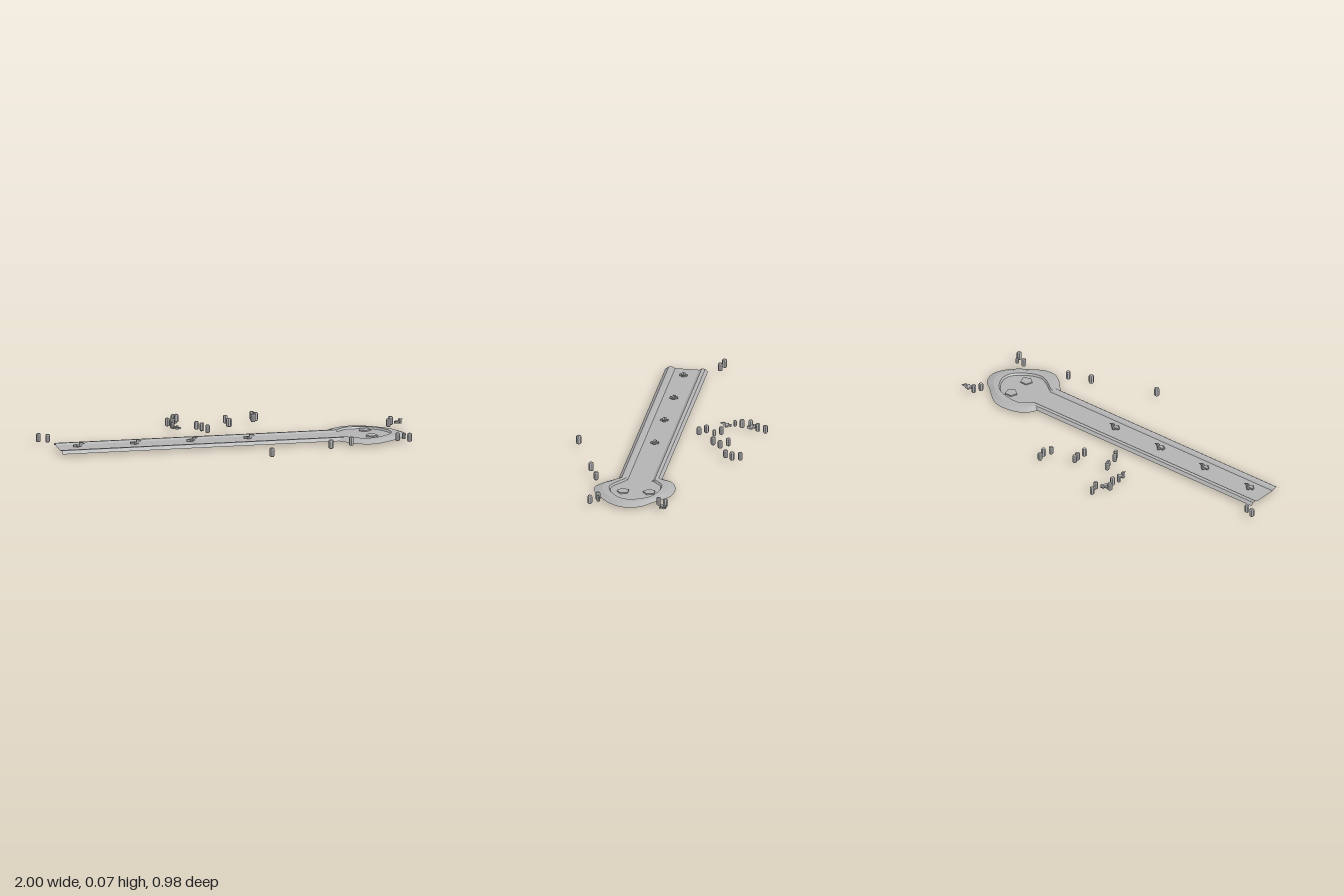
import * as THREE from 'three';

const stone = new THREE.MeshStandardMaterial({ color: 0xb4b4b4, flatShading: true, side: THREE.DoubleSide });
stone.name = 'grey';

const FLOOR = 0.021;

// Skin a list of equally long cross-sections (arrays of [x, y, z])
function loft(sections) {
  const n = sections[0].length, index = [];
  for (let i = 0; i < sections.length - 1; i++)
    for (let j = 0; j < n - 1; j++) {
      const a = i * n + j, b = a + n;
      index.push(a, a + 1, b, b, a + 1, b + 1);
    }
  const g = new THREE.BufferGeometry();
  g.setAttribute('position', new THREE.Float32BufferAttribute(sections.flat(2), 3));
  g.setIndex(index);
  g.computeVertexNormals();
  return g;
}

function add(parent, name, geometry, x = 0, y = 0, z = 0) {
  const m = new THREE.Mesh(geometry, stone);
  m.name = name;
  m.position.set(x, y, z);
  parent.add(m);
  return m;
}

// Smooth curve through [x, z] pairs, sampled evenly by control point
function sample(points, n) {
  const c = new THREE.CatmullRomCurve3(points.map(([x, z]) => new THREE.Vector3(x, 0, z)));
  return Array.from({ length: n + 1 }, (_, i) => c.getPoint(i / n));
}

// Low swimmer: cross-shaped body, raised neck and pointed head towards +x
function createSwimmer() {
  const g = new THREE.Group();
  g.name = 'swimmer';
  add(g, 'body', new THREE.BoxGeometry(0.042, 0.01, 0.016), -0.002, 0.007, 0);
  add(g, 'wings', new THREE.BoxGeometry(0.013, 0.008, 0.042), 0, 0.006, 0);
  add(g, 'neck', new THREE.BoxGeometry(0.012, 0.012, 0.011), 0.014, 0.016, 0);
  const beak = new THREE.ConeGeometry(0.009, 0.022, 4).rotateY(Math.PI / 4).rotateZ(-Math.PI / 2);
  add(g, 'head', beak, 0.029, 0.017, 0);
  return g;
}

export function createModel() {
  const model = new THREE.Group();
  model.name = 'channelAndBasin';

  // Straight channel with a bank on either side
  const profile = [[0.014, -0.045], [0.028, -0.03], [0.03, -0.012], [FLOOR, 0.002],
    [FLOOR, 0.132], [0.028, 0.142], [0.03, 0.165], [0.014, 0.185]];
  add(model, 'channel', loft([-0.92, 0.61].map(x => profile.map(([y, z]) => [x, y, z]))));

  // Basin: irregular ring bank open towards the channel
  const N = 48;
  const outer = sample([[0.55, -0.04], [0.59, -0.105], [0.68, -0.137], [0.77, -0.13], [0.83, -0.09],
    [0.885, -0.04], [0.94, 0.005], [0.965, 0.08], [0.95, 0.135], [0.9, 0.2], [0.83, 0.25],
    [0.77, 0.285], [0.71, 0.29], [0.65, 0.255], [0.575, 0.178]], N);
  const inner = sample([[0.6, -0.012], [0.618, -0.025], [0.66, -0.06], [0.715, -0.065], [0.78, -0.05],
    [0.83, -0.025], [0.87, 0.03], [0.885, 0.08], [0.875, 0.125], [0.83, 0.17], [0.78, 0.2],
    [0.725, 0.21], [0.67, 0.185], [0.625, 0.152], [0.6, 0.14]], N);
  const centre = new THREE.Vector3(0.74, 0, 0.07);
  const foot = inner.map(p => p.clone().lerp(centre, 0.05));
  add(model, 'basinBank', loft(outer.map((o, i) => {
    const mid = o.clone().lerp(inner[i], 0.5);
    return [[o.x, 0.014, o.z], [mid.x, 0.028, mid.z], [inner[i].x, 0.03, inner[i].z],
      [foot[i].x, FLOOR - 0.001, foot[i].z]];
  })));
  const floorShape = new THREE.Shape(foot.map(p => new THREE.Vector2(p.x, -p.z)));
  add(model, 'basinFloor', new THREE.ShapeGeometry(floorShape).rotateX(-Math.PI / 2), 0, FLOOR - 0.001, 0);

  // Flat slabs on the basin floor
  for (const [x, z] of [[0.76, -0.01], [0.77, 0.13]])
    add(model, 'slab', new THREE.CylinderGeometry(0.034, 0.034, 0.007, 5), x, FLOOR + 0.003, z);

  // Swimmers: four in the channel, three outside; [x, y, z, turn]
  const swimmers = [[-0.2, 0.015, -0.4, Math.PI / 2], [-0.205, 0.015, -0.267, -Math.PI / 2], [0.965, 0.025, -0.118, 0.6]];
  for (const x of [-0.815, -0.505, -0.2, 0.11]) swimmers.push([x, 0.025, 0.07, 0]);
  for (const [x, y, z, turn] of swimmers) {
    const s = createSwimmer();
    s.position.set(x, y, z);
    s.rotation.y = turn;
    model.add(s);
  }

  // Chamfered stubby posts: [x, base y, z, scale]
  const post = new THREE.LatheGeometry([[0, 0], [0.01, 0], [0.0135, 0.005], [0.0135, 0.039], [0.01, 0.045], [0, 0.045]]
    .map(([r, y]) => new THREE.Vector2(r, y)), 7);
  const posts = [
    [-0.987, 0.017, -0.123, 1], [-0.94, 0.016, -0.107, 0.95],
    [-0.18, 0.003, -0.478, 0.95], [-0.172, 0.014, -0.438, 0.95], [-0.23, 0.006, -0.39, 0.95],
    [-0.213, 0.011, -0.347, 1], [-0.223, 0.012, -0.307, 0.7],
    [-0.1, 0.013, -0.254, 0.95], [-0.08, 0.01, -0.219, 0.75], [-0.087, 0.022, -0.176, 0.95], [-0.065, 0.018, -0.139, 0.95],
    [0.07, 0.023, -0.32, 0.95], [0.084, 0.013, -0.278, 0.95], [0.07, 0.023, -0.238, 1],
    [0.233, 0.016, -0.411, 0.95], [0.244, 0.017, -0.369, 1], [0.223, 0.02, -0.331, 0.95],
    [0.925, 0.018, -0.123, 1], [0.907, 0.017, -0.085, 0.95],
    [0.885, 0.016, 0.246, 0.95], [0.922, 0.022, 0.238, 0.7], [0.944, 0.017, 0.28, 1],
    [0.623, 0.016, 0.3, 1], [0.503, 0.015, 0.347, 1.05], [0.156, 0.015, 0.472, 1.05],
  ];
  posts.forEach(([x, y, z, s], i) => {
    const m = add(model, 'post', post, x, y, z);
    m.scale.setScalar(s);
    m.rotation.y = i * 1.3;
  });

  // Rest the lowest part on the ground
  model.position.y = -new THREE.Box3().setFromObject(model).min.y;
  return model;
}
